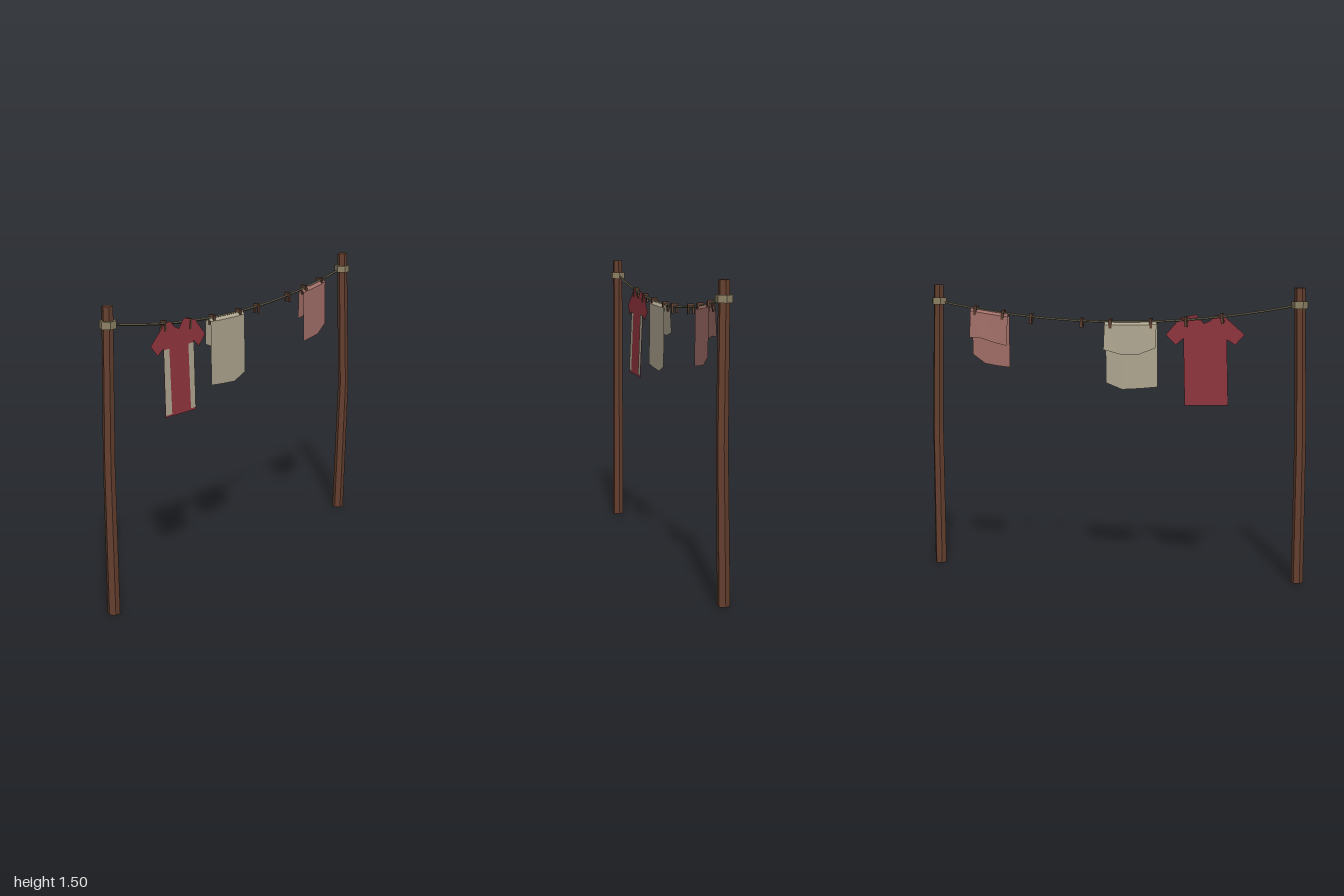
import * as THREE from 'three';

const mat = (name, color, extra = {}) => {
  const m = new THREE.MeshStandardMaterial({ color, flatShading: true, ...extra });
  m.name = name;
  return m;
};

const ROPE_Z = -0.009;
const ropeY = (x) => 1.318 + 0.107 * x * x;

export function createModel() {
  const group = new THREE.Group();
  const both = { side: THREE.DoubleSide };
  const wood = mat('dark wood', 0x65402f);
  const twine = mat('twine', 0x8f8266);
  const rope = mat('rope', 0x6e6650);
  const pegWood = mat('peg wood', 0x5f4032);
  const red = mat('red cloth', 0x94363f, both);
  const cream = mat('cream cloth', 0xb2a993, both);
  const pink = mat('faded pink cloth', 0xa4706a, both);

  const add = (name, geometry, material) => {
    const mesh = new THREE.Mesh(geometry, material);
    mesh.name = name;
    group.add(mesh);
    return mesh;
  };

  // Six-sided posts, bent at mid height: centres [x, z] for bottom, middle, top
  const post = (name, centres) => {
    const geo = new THREE.CylinderGeometry(0.027, 0.031, 1.5, 6, 2);
    geo.rotateY(Math.PI / 6).translate(0, 0.75, 0);
    const p = geo.attributes.position;
    for (let i = 0; i < p.count; i++) {
      const [cx, cz] = centres[Math.round(p.getY(i) / 0.75)];
      p.setX(i, p.getX(i) + cx);
      p.setZ(i, p.getZ(i) + cz);
    }
    geo.computeVertexNormals();
    add(name, geo, wood);
    // Twine wrapped round the post where the rope is tied
    const tie = add(name + 'Tie', new THREE.CylinderGeometry(0.041, 0.041, 0.036, 6), twine);
    tie.rotation.y = Math.PI / 6;
    tie.position.set(centres[2][0], 1.415, centres[2][1]);
  };
  post('rightPost', [[-0.966, -0.003], [-0.968, -0.006], [-0.953, -0.004]]);
  post('leftPost', [[0.962, -0.007], [0.969, 0.008], [0.947, -0.004]]);

  // Sagging rope
  const points = [];
  for (let i = 0; i <= 12; i++) {
    const x = -0.95 + (i / 12) * 1.897;
    points.push(new THREE.Vector3(x, ropeY(x), ROPE_Z));
  }
  add('rope', new THREE.TubeGeometry(new THREE.CatmullRomCurve3(points), 24, 0.006, 5), rope);

  // Pegs: two prongs straddling the rope, joined by a head
  [-0.565, -0.38, -0.2, 0.012, 0.165, 0.437, 0.59, 0.74].forEach((x) => {
    const peg = new THREE.Group();
    peg.name = 'peg';
    [-1, 1].forEach((s) => {
      const prong = new THREE.Mesh(new THREE.BoxGeometry(0.014, 0.046, 0.009), pegWood);
      prong.name = 'pegProng';
      prong.position.set(0, -0.012, s * 0.012);
      peg.add(prong);
    });
    const head = new THREE.Mesh(new THREE.BoxGeometry(0.014, 0.012, 0.03), pegWood);
    head.name = 'pegHead';
    head.position.y = 0.01;
    peg.add(head);
    peg.position.set(x, ropeY(x), ROPE_Z);
    peg.rotation.z = Math.atan(0.214 * x);
    group.add(peg);
  });

  // Flat cloth cut from an outline, leaning forward towards its hem
  const cloth = (name, outline, material, zAt) => {
    const shape = new THREE.Shape(outline.map(([x, y]) => new THREE.Vector2(x, y)));
    const geo = new THREE.ShapeGeometry(shape);
    const p = geo.attributes.position;
    for (let i = 0; i < p.count; i++) p.setZ(i, zAt(p.getY(i)));
    geo.computeVertexNormals();
    add(name, geo, material);
  };

  // Shirt with short sleeves and pale side panels on its front
  const shirtZ = (y) => 0.003 + (1.36 - y) * 0.04;
  cloth('shirt', [
    [-0.572, 1.355], [-0.53, 1.36], [-0.505, 1.33], [-0.47, 1.315], [-0.445, 1.345],
    [-0.428, 1.36], [-0.348, 1.34], [-0.273, 1.255], [-0.326, 1.203], [-0.365, 1.238],
    [-0.371, 0.892], [-0.595, 0.898], [-0.588, 1.235], [-0.631, 1.208], [-0.679, 1.262],
  ], red, shirtZ);
  const panelZ = (y) => shirtZ(y) + 0.003;
  cloth('shirtPanelRight', [[-0.595, 0.908], [-0.549, 0.907], [-0.549, 1.23], [-0.588, 1.23]], cream, panelZ);
  cloth('shirtPanelLeft', [[-0.408, 0.905], [-0.371, 0.904], [-0.365, 1.23], [-0.408, 1.23]], cream, panelZ);

  // Towel folded over the rope: columns of [x, front hem y, back hem y]
  const towel = (name, columns, material) => {
    const rows = 5;
    const positions = [];
    const index = [];
    columns.forEach(([x, front, back], c) => {
      const top = ropeY(x) + 0.004;
      const section = [
        [front, 0.011], [top - 0.02, 0.008], [top, ROPE_Z],
        [top - 0.02, -0.024], [back, -0.03],
      ];
      section.forEach(([y, z], r) => {
        positions.push(x + (r === 4 ? 0.004 : 0), y, z);
        if (c && r) {
          const a = (c - 1) * rows + r - 1;
          index.push(a, a + rows, a + 1, a + rows, a + rows + 1, a + 1);
        }
      });
    });
    const geo = new THREE.BufferGeometry();
    geo.setAttribute('position', new THREE.Float32BufferAttribute(positions, 3));
    geo.setIndex(index);
    geo.computeVertexNormals();
    add(name, geo, material);
  };
  towel('creamTowel', [[-0.231, 0.984, 1.188], [-0.14, 0.974, 1.152], [-0.043, 0.967, 1.153], [0.043, 1.0, 1.175]], cream);
  towel('pinkTowel', [[0.563, 1.068, 1.185], [0.63, 1.075, 1.2], [0.7, 1.086, 1.222], [0.768, 1.134, 1.225]], pink);

  return group;
}
